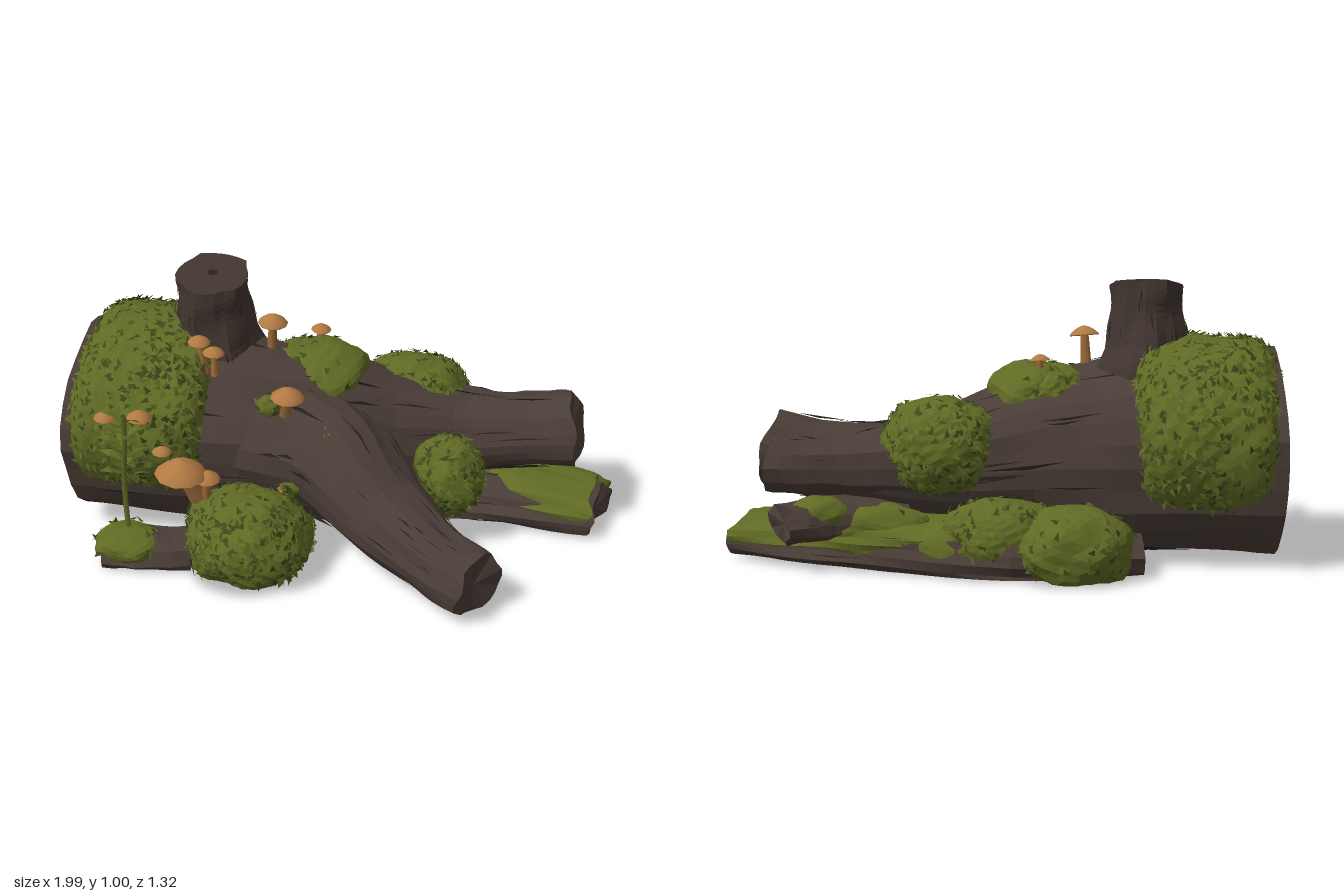
import * as THREE from 'three';

export function createModel() {
  const V = (x, y, z) => new THREE.Vector3(x, y, z);
  const root = new THREE.Group();
  root.name = 'mossyFallenLog';
  const mat = (name, color, side = THREE.FrontSide) => {
    const m = new THREE.MeshStandardMaterial({ color, side });
    m.name = name;
    return m;
  };
  const bark = mat('bark', 0x4a3d37);
  const stumpBark = mat('dark bark', 0x41352f);
  const crack = mat('bark crack', 0x261f1c, THREE.DoubleSide);
  const moss = mat('moss', 0x606a24, THREE.DoubleSide);
  const darkMoss = mat('dark moss', 0x3f491a, THREE.DoubleSide);
  const capMat = mat('mushroom cap', 0xb27a43);
  const stemMat = mat('mushroom stem', 0x9c6a3a, THREE.DoubleSide);

  let seed = 7;
  const rnd = () => (seed = (seed * 16807) % 2147483647) / 2147483647;
  const add = (geo, material, name, parent = root) => {
    const mesh = new THREE.Mesh(geo, material);
    mesh.name = name;
    parent.add(mesh);
    return mesh;
  };
  const group = (name) => {
    const g = new THREE.Group();
    g.name = name;
    root.add(g);
    return g;
  };
  const fromTriangles = (pts) => {
    const g = new THREE.BufferGeometry().setFromPoints(pts);
    g.computeVertexNormals();
    return g;
  };

  // Wood limb swept along [x, y, z, radius] points, with grooves, ragged end and crack slivers
  function limb(name, pts, o = {}) {
    const { sides = 22, steps = 18, groove = 0.035, squash = 1, ragged = 0, cracks = 0, material = bark, warp } = o;
    const g = group(name);
    const curve = new THREE.CatmullRomCurve3(pts.map((p) => V(p[0], p[1], p[2])));
    const n = pts.length - 1;
    const at = (t, a, lift = 0) => {
      const c = curve.getPoint(t), T = curve.getTangent(t);
      const side = V().crossVectors(T, Math.abs(T.y) > 0.8 ? V(1, 0, 0) : V(0, 1, 0)).normalize();
      const up = V().crossVectors(side, T);
      const k = Math.min(n - 1, Math.floor(t * n)), f = t * n - k;
      let r = THREE.MathUtils.lerp(pts[k][3], pts[k + 1][3], f);
      r *= 1 + groove * (Math.sin(5 * a + 4 * t) + 0.7 * Math.sin(9 * a - 7 * t + 1) + 0.6 * Math.sin(2 * a + 17 * t));
      r += lift;
      if (t > 0.97) c.addScaledVector(T, ragged * (Math.sin(2 * a + 1) + 0.5 * Math.sin(5 * a)));
      c.addScaledVector(side, r * Math.cos(a)).addScaledVector(up, r * squash * Math.sin(a));
      if (warp) warp(c);
      c.y = Math.max(c.y, 0.004);
      return c;
    };
    const tri = [];
    const ang = (j) => ((j % sides) / sides) * Math.PI * 2;
    const c0 = curve.getPoint(0), c1 = curve.getPoint(1);
    if (warp) [c0, c1].forEach(warp);
    c1.addScaledVector(curve.getTangent(1), -ragged);
    for (let j = 0; j < sides; j++) {
      const a = ang(j), b = ang(j + 1);
      for (let i = 0; i < steps; i++) {
        const p = at(i / steps, a), q = at((i + 1) / steps, a), r = at(i / steps, b), s = at((i + 1) / steps, b);
        tri.push(p, q, r, r, q, s);
      }
      tri.push(c0, at(0, a), at(0, b), c1, at(1, b), at(1, a));
    }
    add(fromTriangles(tri), material, name + 'Wood', g);
    const slivers = [];
    for (let i = 0; i < cracks; i++) {
      const t = 0.06 + rnd() * 0.75, a = rnd() * 6.28, l = 0.03 + rnd() * 0.06, w = 0.03 + rnd() * 0.04;
      slivers.push(at(t, a, 0.004), at(t + l, a + w, 0.004), at(t + l * 2, a + w * 0.5, 0.004));
    }
    if (cracks) add(fromTriangles(slivers), crack, name + 'Cracks', g);
  }

  // Moss cushion: lumpy form, round about x with squarer ends, covered in small leaf triangles
  function cushion(name, c, r, leaves, o = {}) {
    const { power = 2.2, lump = 0.05, detail = 9 } = o;
    const g = group(name);
    const surf = (d) => {
      const s = Math.pow(Math.abs(d.x) ** power + Math.hypot(d.y, d.z) ** power, -1 / power);
      const w = 1 + lump * (Math.sin(6 * d.x + c[0] * 9) * Math.sin(5 * d.y + 2) + 0.7 * Math.sin(7 * d.z + 4 * d.x) + 0.3 * Math.sin(23 * d.x + 19 * d.y + 21 * d.z));
      return V(c[0] + r[0] * d.x * s * w, Math.max(0.004, c[1] + r[1] * d.y * s * w), c[2] + r[2] * d.z * s * w);
    };
    const geo = new THREE.IcosahedronGeometry(1, detail);
    const pos = geo.attributes.position;
    for (let i = 0; i < pos.count; i++) {
      const p = surf(V().fromBufferAttribute(pos, i).normalize());
      pos.setXYZ(i, p.x, p.y, p.z);
    }
    geo.computeVertexNormals();
    add(geo, moss, name + 'Body', g);
    const sets = [[], []];
    for (let i = 0; i < leaves; i++) {
      const d = V(rnd() - 0.5, rnd() - 0.5, rnd() - 0.5).normalize();
      const p = surf(d);
      if (p.y < 0.04) continue;
      const e = V(rnd() - 0.5, rnd() - 0.5, rnd() - 0.5).cross(d).normalize();
      const f = V().crossVectors(d, e);
      sets[rnd() < 0.35 ? 1 : 0].push(
        p.clone().addScaledVector(e, 0.011).addScaledVector(d, 0.002),
        p.clone().addScaledVector(f, 0.03).addScaledVector(d, 0.011),
        p.clone().addScaledVector(e, -0.011).addScaledVector(d, 0.002));
    }
    if (leaves) {
      add(fromTriangles(sets[0]), moss, name + 'Leaves', g);
      add(fromTriangles(sets[1]), darkMoss, name + 'ShadedLeaves', g);
    }
  }

  // Mushroom from foot to cap top, with a leaning stem and domed cap
  function mushroom(foot, top, r) {
    const g = group('mushroom');
    const a = V(...foot), b = V(...top), h = r * 0.66;
    const tip = b.clone().setY(b.y - h * 0.6);
    const stem = add(new THREE.CylinderGeometry(r * 0.26, r * 0.4, a.distanceTo(tip), 7), stemMat, 'stem', g);
    stem.position.copy(a).lerp(tip, 0.5);
    stem.quaternion.setFromUnitVectors(V(0, 1, 0), tip.clone().sub(a).normalize());
    const profile = [[0.01, 0.3], [0.95, 0], [1, 0.1], [0.72, 0.5], [0.35, 0.85], [0, 1]];
    const cap = add(new THREE.LatheGeometry(profile.map(([x, y]) => new THREE.Vector2(x * r, y * h)), 10), capMat, 'cap', g);
    cap.position.set(b.x, b.y - h, b.z);
    cap.rotation.set(0.1, 0, -0.08);
  }

  // Main trunk running into the back branch, with a spur beside its tip
  limb('trunk', [[-0.99, 0.38, -0.05, 0.365], [-0.7, 0.38, -0.05, 0.365], [-0.4, 0.365, -0.06, 0.35], [-0.1, 0.36, -0.1, 0.3],
    [0.15, 0.335, -0.17, 0.23], [0.42, 0.33, -0.22, 0.16], [0.68, 0.365, -0.2, 0.13], [0.85, 0.39, -0.19, 0.14]],
  { sides: 26, steps: 30, ragged: 0.014, cracks: 70, groove: 0.025, warp: (p) => { if (p.x < -0.9) p.x += 0.24 * (p.y - 0.38) ** 2; } });
  limb('branchSpur', [[0.3, 0.36, -0.28, 0.13], [0.6, 0.35, -0.32, 0.1], [0.83, 0.355, -0.345, 0.1]],
    { sides: 12, steps: 10, ragged: 0.014, groove: 0.06, cracks: 10 });

  // Growth rings following the slightly bowed sawn end
  const rings = group('growthRings');
  rings.position.set(-0.994, 0.38, -0.05);
  for (const r of [0.06, 0.11, 0.16, 0.205, 0.25, 0.3]) {
    const geo = new THREE.RingGeometry(r - 0.012, r, 13);
    const pos = geo.attributes.position;
    for (let i = 0; i < pos.count; i++) pos.setZ(i, (-0.087 * pos.getY(i) ** 2) / r);
    add(geo, crack, 'ring', rings).rotation.y = -Math.PI / 2;
  }

  // Front branch, lower log and its short prong
  limb('frontBranch', [[-0.3, 0.36, 0, 0.28], [0, 0.33, 0.12, 0.22], [0.21, 0.225, 0.29, 0.158], [0.41, 0.15, 0.44, 0.125], [0.57, 0.125, 0.55, 0.118]],
    { ragged: 0.016, cracks: 45 });
  limb('lowerLog', [[-0.48, 0.04, -0.28, 0.18], [-0.1, 0.05, -0.33, 0.27], [0.3, 0.06, -0.29, 0.23], [0.65, 0.07, -0.25, 0.2], [0.955, 0.06, -0.18, 0.15]],
    { squash: 0.5, ragged: 0.014, groove: 0.05, cracks: 30 });
  limb('lowerLogMoss', [[0.1, 0.1, -0.34, 0.18], [0.4, 0.1, -0.32, 0.18], [0.65, 0.105, -0.26, 0.18], [0.94, 0.09, -0.19, 0.155]],
    { squash: 0.45, ragged: 0.02, groove: 0.05, material: moss });
  limb('lowerProng', [[0.35, 0.15, -0.29, 0.14], [0.58, 0.165, -0.35, 0.13], [0.76, 0.165, -0.47, 0.11]],
    { sides: 14, steps: 8, squash: 0.62, groove: 0.06, ragged: 0.012, cracks: 8 });

  // Upright stump with flared foot and slanted cut
  limb('stump', [[-0.49, 0.42, -0.06, 0.28], [-0.49, 0.62, -0.06, 0.2], [-0.49, 0.74, -0.055, 0.15], [-0.49, 0.87, -0.04, 0.128], [-0.49, 0.975, -0.035, 0.13]],
    { material: stumpBark, groove: 0.045, cracks: 60, warp: (p) => { p.y -= (p.z + 0.035) * 0.2 * THREE.MathUtils.clamp((p.y - 0.6) / 0.35, 0, 1); } });
  const heart = add(new THREE.CircleGeometry(0.02, 7), crack, 'stumpHeart');
  heart.position.set(-0.49, 0.979, -0.035);
  heart.rotation.x = -Math.PI / 2 + 0.2;

  // Leafy moss cushions
  cushion('trunkEndMoss', [-0.712, 0.45, -0.055], [0.253, 0.345, 0.415], 3000, { power: 6, lump: 0.02, detail: 13 });
  cushion('frontBush', [-0.28, 0.12, 0.36], [0.225, 0.185, 0.215], 1200);
  cushion('forkBush', [0.4, 0.26, 0.02], [0.13, 0.155, 0.12], 500);
  cushion('branchMoss', [0.225, 0.415, -0.29], [0.21, 0.175, 0.175], 850);
  cushion('backMossLeafy', [-0.02, 0.12, -0.44], [0.22, 0.14, 0.13], 500);
  cushion('topMossLeafy', [-0.16, 0.57, -0.1], [0.165, 0.125, 0.18], 350);
  // Smooth moss pads
  cushion('topMoss', [-0.09, 0.58, -0.1], [0.165, 0.125, 0.18], 40, { detail: 6 });
  cushion('backMoss', [-0.26, 0.1, -0.48], [0.2, 0.15, 0.17], 220, { detail: 6 });
  cushion('backMossLow', [0.15, 0.08, -0.42], [0.2, 0.1, 0.12], 30, { detail: 5 });
  cushion('backMossFar', [0.45, 0.14, -0.38], [0.2, 0.09, 0.09], 20, { detail: 5 });
  cushion('prongMoss', [0.63, 0.2, -0.43], [0.1, 0.06, 0.075], 0, { detail: 4 });
  for (const [x, y, z] of [[-0.24, 0.56, 0.17], [0, 0.48, 0.2], [-0.14, 0.3, 0.27]])
    cushion('mossTuft', [x, y, z], [0.045, 0.04, 0.045], 60, { detail: 3 });

  // Earthy undersides of the resting mounds
  for (const [x, z, rx, rz] of [[-0.28, 0.36, 0.22, 0.21], [-0.26, -0.47, 0.2, 0.17], [0.02, -0.43, 0.24, 0.14], [0.2, -0.3, 0.5, 0.2]]) {
    const base = add(new THREE.CircleGeometry(1, 20), bark, 'underside');
    base.position.set(x, 0.001, z);
    base.rotation.x = Math.PI / 2;
    base.scale.set(rx, rz, 1);
  }

  // Half-buried root at the front
  limb('frontRoot', [[-0.82, 0.03, 0.42, 0.08], [-0.7, 0.03, 0.39, 0.115], [-0.5, 0.03, 0.35, 0.11]], { sides: 10, steps: 6, groove: 0.06, squash: 0.8 });
  cushion('frontRootMoss', [-0.72, 0.075, 0.405], [0.125, 0.065, 0.105], 35, { detail: 4 });

  // Leafy sprout
  const sprout = group('sprout');
  const stalk = new THREE.CatmullRomCurve3([V(-0.72, 0.08, 0.4), V(-0.73, 0.3, 0.39), V(-0.71, 0.48, 0.42), V(-0.7, 0.61, 0.44)]);
  add(new THREE.TubeGeometry(stalk, 10, 0.01, 5), moss, 'stalk', sprout);
  const blades = [];
  for (let i = 0; i < 18; i++) {
    const p = stalk.getPoint(0.4 + i * 0.033), a = i * 2.4;
    const d = V(Math.cos(a), 0.5, Math.sin(a) * 0.8), w = V(-Math.sin(a), 0.3, Math.cos(a)).multiplyScalar(0.017);
    const mid = p.clone().addScaledVector(d, 0.055), tip = p.clone().addScaledVector(d, 0.1).setY(p.y + 0.03);
    const l = mid.clone().add(w), r = mid.clone().sub(w);
    blades.push(p, l, r, r, l, tip);
  }
  add(fromTriangles(blades), moss, 'blades', sprout);

  // Mushrooms: foot, cap top, cap radius
  [[[-0.28, 0.64, -0.05], [-0.27, 0.83, -0.04], 0.056],
    [[-0.48, 0.66, 0.15], [-0.5, 0.805, 0.145], 0.042],
    [[-0.44, 0.66, 0.16], [-0.445, 0.77, 0.155], 0.04],
    [[-0.18, 0.52, 0.18], [-0.16, 0.665, 0.225], 0.062],
    [[-0.12, 0.66, -0.18], [-0.12, 0.74, -0.19], 0.038],
    [[-0.47, 0.25, 0.33], [-0.52, 0.425, 0.38], 0.095],
    [[-0.44, 0.25, 0.34], [-0.43, 0.375, 0.36], 0.05],
    [[-0.15, 0.25, 0.26], [-0.15, 0.315, 0.28], 0.04],
    [[-0.66, 0.54, 0.33], [-0.65, 0.625, 0.42], 0.045],
    [[-0.78, 0.52, 0.33], [-0.78, 0.605, 0.41], 0.04],
    [[-0.6, 0.42, 0.34], [-0.58, 0.48, 0.4], 0.035]].forEach((m) => mushroom(...m));

  return root;
}
